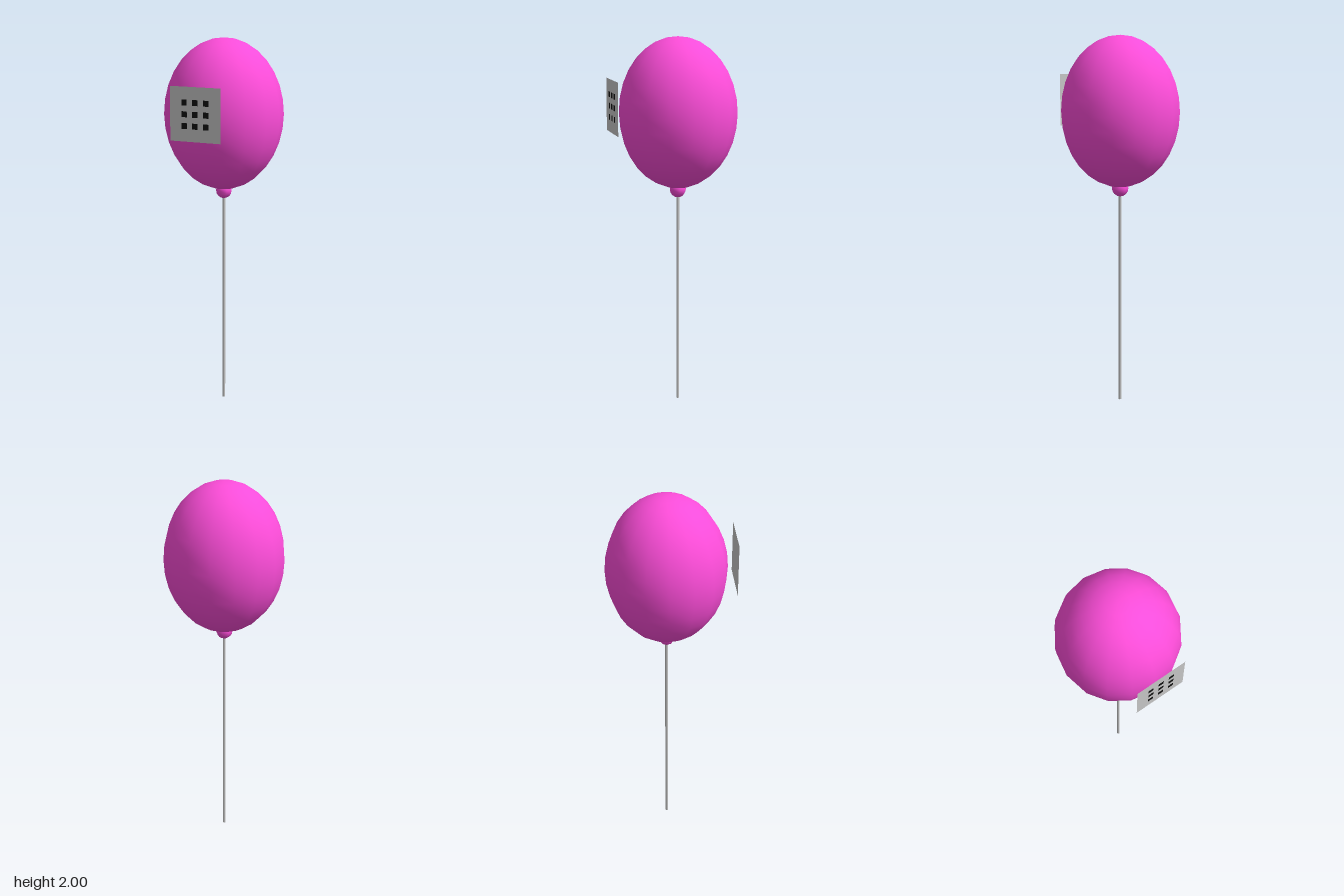
import * as THREE from 'three';

const CENTRE_Z = -0.02;

export function createModel() {
  const model = new THREE.Group();
  model.name = 'balloon';
  const pink = new THREE.MeshStandardMaterial({ color: 0xff4ddb });
  const grey = new THREE.MeshStandardMaterial({ color: 0xcccccc });
  const panelGrey = new THREE.MeshStandardMaterial({ color: 0xcccccc, side: THREE.DoubleSide });
  const black = new THREE.MeshStandardMaterial({ color: 0x111111, side: THREE.DoubleSide });

  const add = (name, geometry, material, x, y, z, parent = model) => {
    const mesh = new THREE.Mesh(geometry, material);
    mesh.name = name;
    mesh.position.set(x, y, z);
    parent.add(mesh);
    return mesh;
  };

  // Egg-tall balloon body
  const body = new THREE.SphereGeometry(0.318, 16, 16);
  body.scale(1, 0.403 / 0.318, 1);
  add('balloonBody', body, pink, 0, 1.597, CENTRE_Z);

  // Small knot under the body
  add('knot', new THREE.SphereGeometry(0.045, 8, 8), pink, 0, 1.186, CENTRE_Z);

  // Straight string down to the ground
  add('string', new THREE.CylinderGeometry(0.008, 0.008, 1.18, 6), grey, 0, 0.59, CENTRE_Z);

  // Flat square panel floating at the front, with a 3 x 3 grid of dark squares
  const panel = new THREE.Group();
  panel.name = 'frontPanel';
  panel.position.set(0, 1.64, 0.336);
  model.add(panel);
  add('panelPlate', new THREE.PlaneGeometry(0.28, 0.28), panelGrey, 0, 0, 0, panel);
  const square = new THREE.PlaneGeometry(0.03, 0.03);
  for (let row = -1; row <= 1; row++) {
    for (let col = -1; col <= 1; col++) {
      add('panelSquare', square, black, col * 0.06, row * 0.06, 0.002, panel);
    }
  }
  return model;
}
